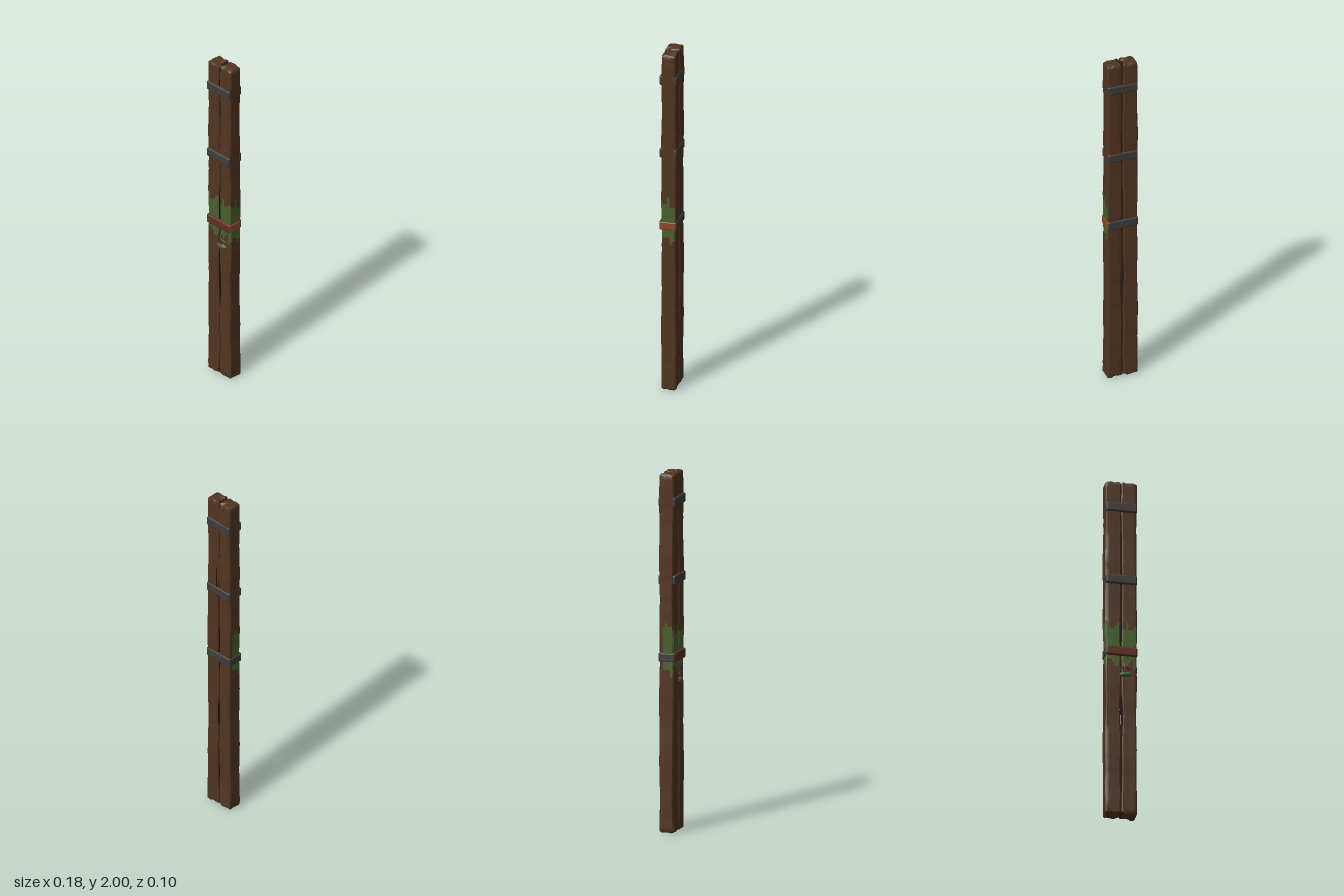
import * as THREE from 'three';
import { toCreasedNormals } from 'three/addons/utils/BufferGeometryUtils.js';
import { RoundedBoxGeometry } from 'three/addons/geometries/RoundedBoxGeometry.js';

const mat = (name, color) => Object.assign(new THREE.MeshStandardMaterial({ color }), { name });

// Repeatable value in -1..1
const hash = (n) => {
  const s = Math.sin(n * 127.1 + 11.7) * 43758.5453;
  return (s - Math.floor(s)) * 2 - 1;
};

const BACK = -0.046, FRONT = 0.036;
const COLUMNS = [-0.84, -0.5, -0.17, 0.17, 0.5, 0.84];
const RING = COLUMNS.length * 4;

// One rough-hewn plank: wobbling rounded rectangles stacked along y
function plankGeometry(x0, x1, seed, innerSide) {
  const wave = (y, k) =>
    0.0016 * Math.sin(y * 6 + seed * 3 + k * 2) + 0.0012 * Math.sin(y * 17 + seed + k * 5) + 0.0006 * hash(Math.round(y * 25) + seed * 50 + k * 9);
  // The seam opens up below the middle and around y = 1.1
  const gap = (y) => 0.006 * Math.exp(-(((y - 0.6) / 0.13) ** 2)) + 0.003 * Math.exp(-(((y - 1.1) / 0.08) ** 2));

  const ys = [0.006];
  for (let i = 0; i < 100; i++) ys.push(0.014 + i * 0.01992);
  ys.push(1.994);

  const pos = [];
  ys.forEach((y, i) => {
    const end = i === 0 || i === ys.length - 1;
    const nearEnd = y < 0.03 || y > 1.97;
    const shrink = end ? 0.84 : 1;
    const right = x1 + wave(y, 1) - (innerSide === 1 ? gap(y) : 0);
    const left = x0 + wave(y, 3) + (innerSide === 3 ? gap(y) : 0);
    const front = FRONT + wave(y, 0), back = BACK + wave(y, 2);
    const cx = (left + right) / 2, cz = (front + back) / 2;
    const hx = ((right - left) / 2) * shrink, hz = ((front - back) / 2) * shrink;
    for (let side = 0; side < 4; side++) {
      COLUMNS.forEach((t, c) => {
        const bump = 1 + 0.012 * hash(seed * 31 + side * 7 + c);
        const [u, v] = [[t, bump], [bump, -t], [-t, -bump], [-bump, t]][side];
        const lift = nearEnd ? 0.005 * hash(seed * 17 + side * 6 + c) : 0;
        pos.push(cx + u * hx, y + lift, cz + v * hz);
      });
    }
  });

  // Faces sorted into bark, moss and dark seam
  const buckets = [[], [], []];
  for (let i = 0; i < ys.length - 1; i++) {
    for (let j = 0; j < RING; j++) {
      const side = Math.floor(j / COLUMNS.length);
      const k = (j + 1) % RING;
      const a = i * RING + j, b = i * RING + k;
      const low = 0.9 + 0.035 * hash(seed * 13 + j), high = 1.13 + 0.035 * hash(seed * 29 + j);
      const y = (ys[i] + ys[i + 1]) / 2;
      const nearBack = side === 1 ? j % 6 > 4 : side === 3 && j % 6 < 1;
      let m = 0;
      if (side === innerSide && j % 6 < 5) m = 2;
      else if (side !== 2 && !nearBack && y > low && y < high) m = 1;
      buckets[m].push(a, b, b + RING, a, b + RING, a + RING);
    }
  }
  // End caps
  const top = (ys.length - 1) * RING, centre = pos.length / 3;
  pos.push((x0 + x1) / 2, 0.008, -0.005, (x0 + x1) / 2, 1.996, -0.005);
  for (let j = 0; j < RING; j++) {
    const k = (j + 1) % RING;
    buckets[0].push(centre, k, j, centre + 1, top + j, top + k);
  }

  const geo = new THREE.BufferGeometry();
  geo.setAttribute('position', new THREE.Float32BufferAttribute(pos, 3));
  geo.setIndex(buckets.flat());
  let start = 0;
  buckets.forEach((b, m) => {
    geo.addGroup(start, b.length, m);
    start += b.length;
  });
  return toCreasedNormals(geo, 0.7);
}

export function createModel() {
  const model = new THREE.Group();
  model.name = 'strappedPlanks';
  const bark = mat('barkBrown', 0x523521);
  const moss = mat('mossGreen', 0x4a602c);
  const seam = mat('seamDark', 0x2b1c13);
  const iron = mat('ironGrey', 0x403d3b);
  const rustDark = mat('rustBrown', 0x5c3020);
  const rust = mat('rustOrange', 0x8e4826);

  const add = (name, geo, material, x, y, z) => {
    const mesh = new THREE.Mesh(geo, material);
    mesh.name = name;
    mesh.position.set(x, y, z);
    model.add(mesh);
    return mesh;
  };

  // Two planks side by side
  add('rightPlank', plankGeometry(-0.087, -0.002, 1, 1), [bark, moss, seam], 0, 0, 0);
  add('leftPlank', plankGeometry(0.003, 0.086, 2, 3), [bark, moss, seam], 0, 0, 0);

  // Bulging straps across the front and back
  const strap = (name, material, y, z) =>
    add(name, new RoundedBoxGeometry(0.174, 0.054, 0.02, 4, 0.0095), material, 0, y, z);
  [1.84, 1.408, 0.978].forEach((y, i) => {
    strap('frontStrap', i === 2 ? rustDark : iron, y, 0.037);
    strap('backStrap', iron, y, -0.042);
  });

  // The lowest strap continues around both sides
  const sideStrap = new RoundedBoxGeometry(0.012, 0.046, 0.088, 3, 0.0055);
  add('leftSideStrap', sideStrap, rust, 0.084, 0.978, -0.002);
  add('rightSideStrap', sideStrap, iron, -0.084, 0.978, -0.002);

  // Mossy growth hanging from a twig below the lowest strap
  const clump = add('mossClump', new THREE.SphereGeometry(1, 20, 12), moss, 0.022, 0.841, 0.036);
  clump.scale.set(0.035, 0.015, 0.013);
  clump.rotation.z = 0.06;
  const twig = (points) => {
    const path = new THREE.CatmullRomCurve3(points.map((p) => new THREE.Vector3(...p)));
    add('twig', new THREE.TubeGeometry(path, 12, 0.005, 6), bark, 0, 0, 0);
  };
  twig([[0.012, 0.91, 0.034], [0.018, 0.885, 0.041], [0.022, 0.85, 0.038]]);
  twig([[-0.01, 0.868, 0.035], [0.018, 0.884, 0.041], [0.05, 0.872, 0.035]]);

  // Long crack in the back
  add('backCrack', new THREE.BoxGeometry(0.004, 0.19, 0.004), seam, 0.012, 1.47, -0.0465);
  return model;
}
